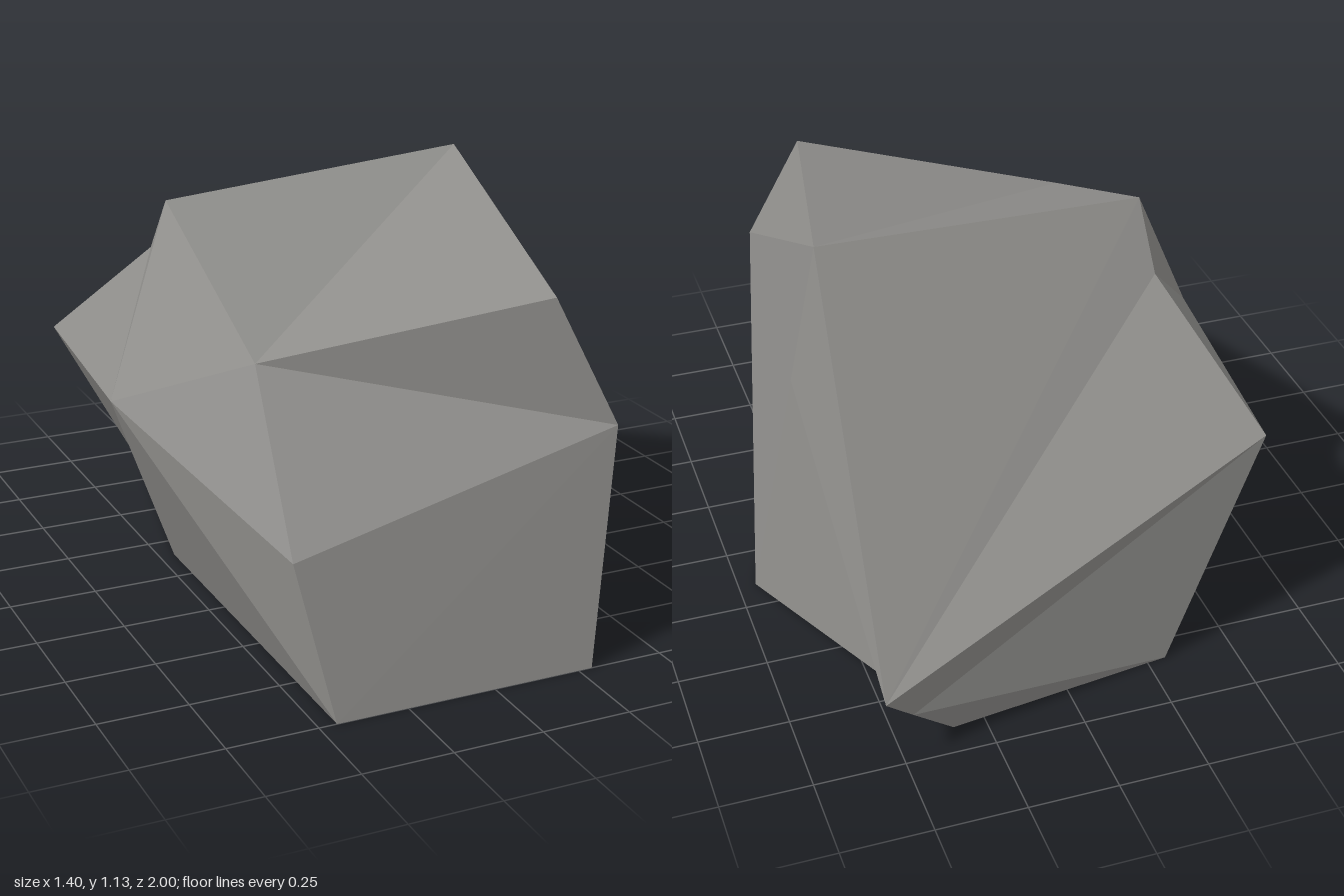
import * as THREE from 'three';

// Named corners of the faceted boulder
const P = {
  // base outline
  baseFL: [-0.45, 0, 1], baseFR: [0.29, 0, 1], baseR: [0.7, 0, -0.155],
  baseBR: [0.34, 0, -0.908], baseBL: [-0.305, 0, -0.825], baseL: [-0.455, 0, -0.147],
  // middle ring
  frontL: [-0.515, 0.4, 0.88], frontR: [0.45, 0.6, 0.825], sideR: [0.574, 0.715, -0.203],
  backLow: [0.467, 0.13, -0.965], backTip: [0.55, 0.215, -1],
  backL: [-0.635, 0.58, -0.675], sideL: [-0.7, 0.585, 0.05],
  // crown
  topFL: [-0.45, 0.795, 0.49], topFR: [0.305, 0.945, 0.73],
  topR: [0.5, 1.135, -0.23], topL: [-0.45, 1.08, -0.155], topBL: [-0.45, 0.91, -0.29],
};

// Facets as corner loops, each filled as a fan from its first corner
const FACETS = [
  'baseFL baseL baseBL baseBR baseR baseFR',  // underside
  'baseFL baseFR frontR frontL',              // lower front
  'frontR topFR topFL frontL',                // upper front
  'topFL topFR topR topL',                    // top
  'frontR sideR topR topFR',                  // right shoulder
  'frontR baseFR baseR sideR',                // lower right
  'sideR baseR baseBR backLow',               // rear right, lower
  'sideR backLow backTip topR',               // rear right, upper
  'backTip topBL topL topR',                  // sloping back
  'backTip backL topBL',
  'backL backTip backLow',                    // back underside
  'backL backLow baseBL',
  'baseBL backLow baseBR',
  'sideL topL topBL backL',                   // left shoulder
  'sideL frontL topFL topL',
  'sideL backL baseBL baseL',                 // left underside
  'sideL baseL baseFL frontL',
];

function facetedGeometry() {
  const center = new THREE.Vector3(0, 0.45, 0);
  const out = [];
  for (const facet of FACETS) {
    const loop = facet.split(' ').map((n) => new THREE.Vector3(...P[n]));
    for (let i = 1; i < loop.length - 1; i++) {
      const [a, b, c] = [loop[0], loop[i], loop[i + 1]];
      // Turn every triangle away from the middle of the rock
      const normal = b.clone().sub(a).cross(c.clone().sub(a));
      const outward = normal.dot(a.clone().sub(center)) > 0;
      for (const v of outward ? [a, b, c] : [a, c, b]) out.push(v.x, v.y, v.z);
    }
  }
  const geometry = new THREE.BufferGeometry();
  geometry.setAttribute('position', new THREE.Float32BufferAttribute(out, 3));
  geometry.computeVertexNormals();
  return geometry;
}

export function createModel() {
  const group = new THREE.Group();
  group.name = 'rock';
  const stone = new THREE.MeshStandardMaterial({ color: 0x8f8e8b });
  stone.name = 'stoneGrey';
  const boulder = new THREE.Mesh(facetedGeometry(), stone);
  boulder.name = 'boulder';
  group.add(boulder);
  return group;
}
